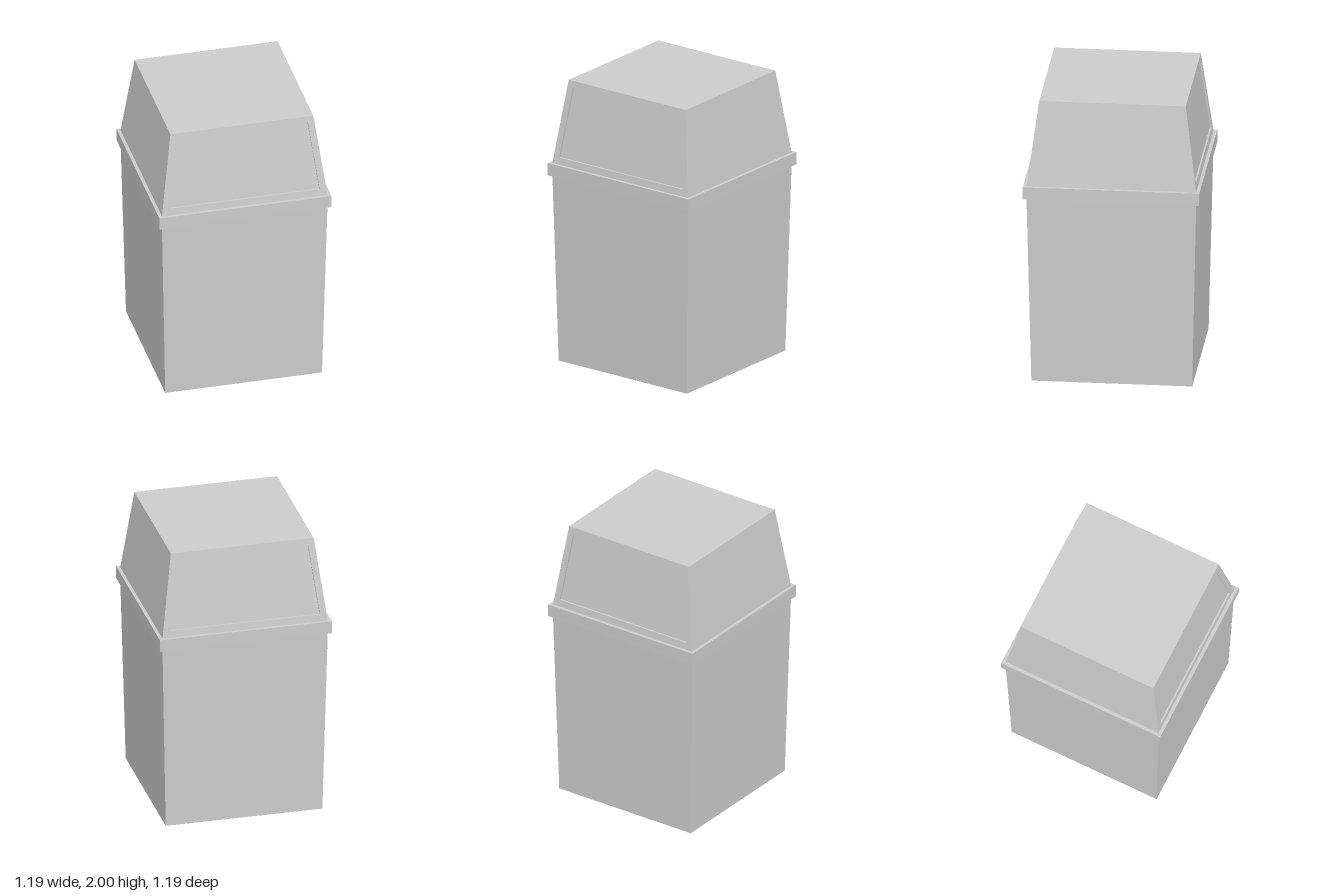
import * as THREE from 'three';

const material = new THREE.MeshStandardMaterial({ color: 0xcccccc, flatShading: true });

// Skins successive four-cornered rings and caps the last one (the first too if closed).
// Corners run counter-clockwise as seen looking back from the last ring.
function loft(name, rings, closed = false) {
  const pos = [];
  const quad = (a, b, c, d) => [a, b, c, a, c, d].forEach((p) => pos.push(...p));
  for (let r = 0; r + 1 < rings.length; r++) {
    for (let i = 0; i < 4; i++) {
      const j = (i + 1) % 4;
      quad(rings[r][i], rings[r][j], rings[r + 1][j], rings[r + 1][i]);
    }
  }
  quad(...rings[rings.length - 1]);
  if (closed) quad(...[...rings[0]].reverse());
  const geo = new THREE.BufferGeometry();
  geo.setAttribute('position', new THREE.Float32BufferAttribute(pos, 3));
  geo.computeVertexNormals();
  const mesh = new THREE.Mesh(geo, material);
  mesh.name = name;
  return mesh;
}

// Horizontal square of half-width h at height y
const square = (h, y) => [[-h, y, h], [h, y, h], [h, y, -h], [-h, y, -h]];

const RIM = { bottom: 1.325, top: 1.412, half: 0.596 };
const HOOD = { bottom: 0.573, top: 0.495, height: 2 };

// Half-width of the sloping hood at height y
const hoodHalf = (y) =>
  THREE.MathUtils.mapLinear(y, RIM.top, HOOD.height, HOOD.bottom, HOOD.top);

// Trapezoid lying on the hood's front slope, inset from its sides and pushed inward
function slope(y0, y1, inset, depth) {
  const a = hoodHalf(y0), b = hoodHalf(y1);
  return [
    [-a + inset, y0, a - depth], [a - inset, y0, a - depth],
    [b - inset, y1, b - depth], [-b + inset, y1, b - depth],
  ];
}

export function createModel() {
  const model = new THREE.Group();
  model.name = 'wasteBin';

  // Tapered container
  model.add(loft('body', [square(0.543, 0), square(0.573, RIM.bottom)], true));

  // Projecting rim
  const rim = new THREE.Mesh(
    new THREE.BoxGeometry(RIM.half * 2, RIM.top - RIM.bottom, RIM.half * 2), material);
  rim.position.y = (RIM.top + RIM.bottom) / 2;
  rim.name = 'rim';
  model.add(rim);

  // Hood: plain top and sides, recessed flap on front and back
  const hood = new THREE.Group();
  hood.name = 'hood';
  hood.add(loft('hoodTop', [square(HOOD.top, HOOD.height)]));
  for (let i = 0; i < 4; i++) {
    const outer = slope(RIM.top, HOOD.height, 0, 0);
    const face = i % 2
      ? loft('hoodSide', [outer])
      : loft('hoodFlap', [outer, slope(1.46, 1.955, 0.046, 0), slope(1.46, 1.955, 0.046, 0.012)]);
    face.rotation.y = (i * Math.PI) / 2;
    hood.add(face);
  }
  model.add(hood);
  return model;
}
